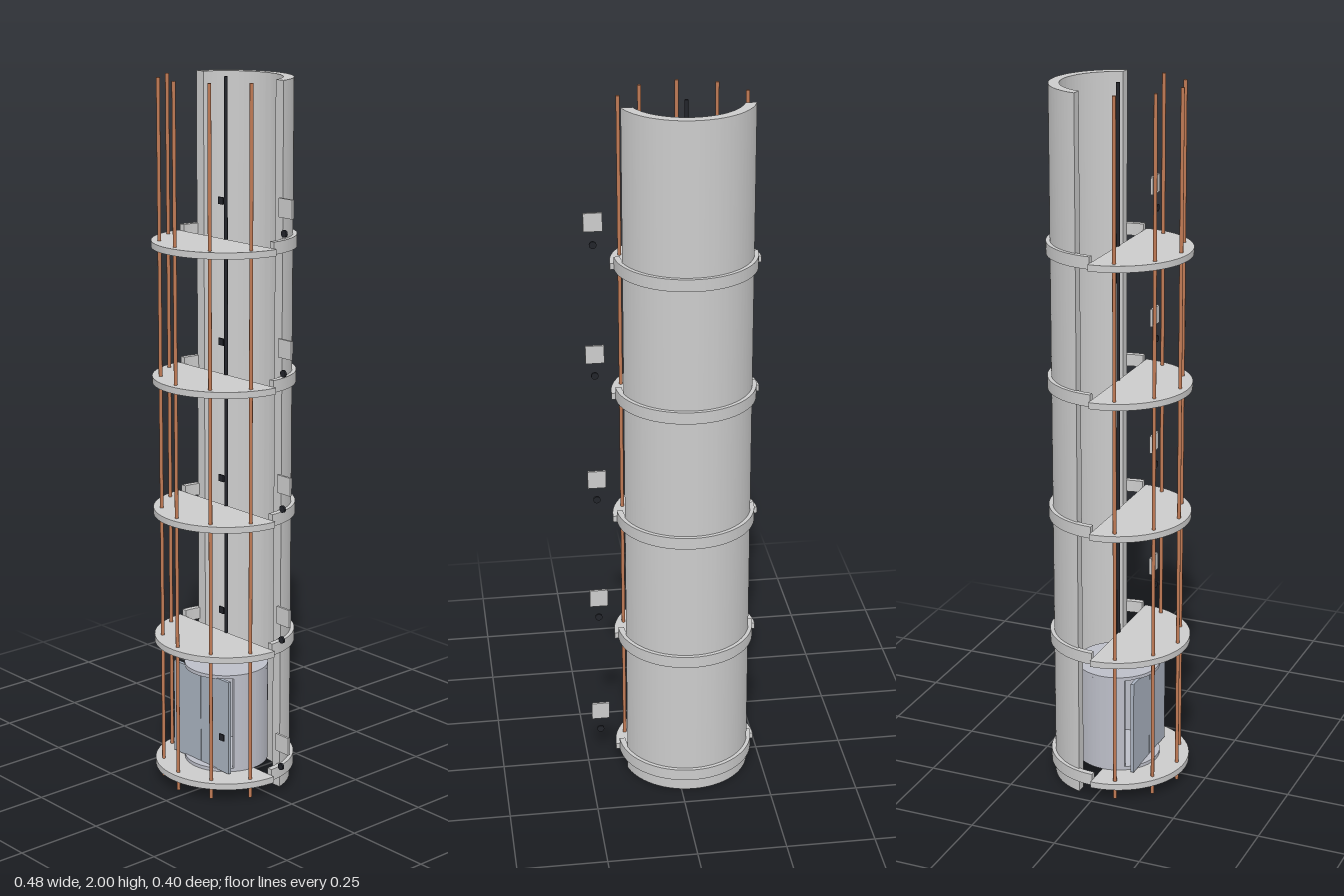
import * as THREE from 'three';
import { toCreasedNormals } from 'three/addons/utils/BufferGeometryUtils.js';

const material = (color, side = THREE.FrontSide) => new THREE.MeshStandardMaterial({ color, side });
const grey = material(0xcccccc);
const dark = material(0x22242a);
const copper = material(0xc07a55);
const cabPaint = material(0xbcbec8);
const glass = material(0xa9b2bf);

const FLOORS = 5, FLOOR_STEP = 0.377;

function extrudeUp(shape, height) {
  const g = new THREE.ExtrudeGeometry(shape, { depth: height, bevelEnabled: false, curveSegments: 64 });
  g.rotateX(-Math.PI / 2);
  return toCreasedNormals(g, 0.5);
}

// Curved wall around the back, its two ends cut straight at z = -cut
function curvedWall(rOuter, rInner, cut, height) {
  const a = Math.asin(cut / rOuter), b = Math.asin(cut / rInner);
  const s = new THREE.Shape();
  s.absarc(0, 0, rOuter, a, Math.PI - a, false);
  s.absarc(0, 0, rInner, Math.PI - b, b, true);
  s.closePath();
  return extrudeUp(s, height);
}

// Half disc towards the front
function halfDisc(r, height) {
  const s = new THREE.Shape();
  s.absarc(0, 0, r, Math.PI, Math.PI * 2, false);
  s.closePath();
  return extrudeUp(s, height);
}

function add(parent, name, geometry, mat, x = 0, y = 0, z = 0) {
  const m = new THREE.Mesh(geometry, mat);
  m.name = name;
  m.position.set(x, y, z);
  parent.add(m);
  return m;
}

export function createModel() {
  const root = new THREE.Group();
  root.name = 'elevatorTower';
  const tower = new THREE.Group();
  tower.name = 'tower';
  tower.position.set(-0.035, 0, -0.006);
  root.add(tower);

  // Shaft wall, open to the front
  add(tower, 'shaftWall', curvedWall(0.182, 0.153, 0.047, 2), grey);

  // Guide rods around the front and the hoist cable on the axis
  const rod = new THREE.CylinderGeometry(0.005, 0.005, 2, 16);
  const rodSpots = [[-0.171, 0.061], [-0.104, 0.148], [0, 0.181], [0.104, 0.148], [0.171, 0.061]];
  for (const [x, z] of rodSpots) add(tower, 'guideRod', rod, copper, x, 1, z);
  add(tower, 'hoistCable', new THREE.CylinderGeometry(0.005, 0.005, 1.655, 16), dark, 0, 1.1725, 0);

  // One landing per floor
  const plate = halfDisc(0.2035, 0.018);
  const band = curvedWall(0.193, 0.177, 0, 0.034);
  const sign = new THREE.BoxGeometry(0.051, 0.051, 0.007);
  const button = new THREE.CylinderGeometry(0.01, 0.01, 0.006, 20).rotateX(Math.PI / 2);
  const callPanel = new THREE.BoxGeometry(0.019, 0.019, 0.004);
  for (let i = 0; i < FLOORS; i++) {
    const landing = new THREE.Group();
    landing.name = 'landing';
    landing.position.y = i * FLOOR_STEP;
    tower.add(landing);
    add(landing, 'floorPlate', plate, grey, 0, 0.036, 0);
    add(landing, 'shaftBand', band, grey, 0, 0.038, 0);
    add(landing, 'floorSign', sign, grey, 0.247, 0.169, 0.007);
    add(landing, 'callButton', button, dark, 0.247, 0.103, 0.013);
    add(landing, 'callPanel', callPanel, dark, 0.136, 0.19, 0.136);
  }

  // Cab: round floor and ceiling, curved back wall, flat double door
  const cab = new THREE.Group();
  cab.name = 'cab';
  tower.add(cab);
  const disc = new THREE.CylinderGeometry(0.119, 0.119, 0.01, 64);
  add(cab, 'cabFloor', disc, cabPaint, 0, 0.059, 0);
  add(cab, 'cabCeiling', disc, cabPaint, 0, 0.34, 0);
  add(cab, 'cabWall', curvedWall(0.119, 0.113, -0.061, 0.271), cabPaint, 0, 0.064, 0);
  const door = new THREE.BoxGeometry(0.117, 0.276, 0.01);
  for (const side of [-1, 1]) add(cab, 'cabDoor', door, glass, side * 0.0595, 0.199, 0.091);

  return root;
}
